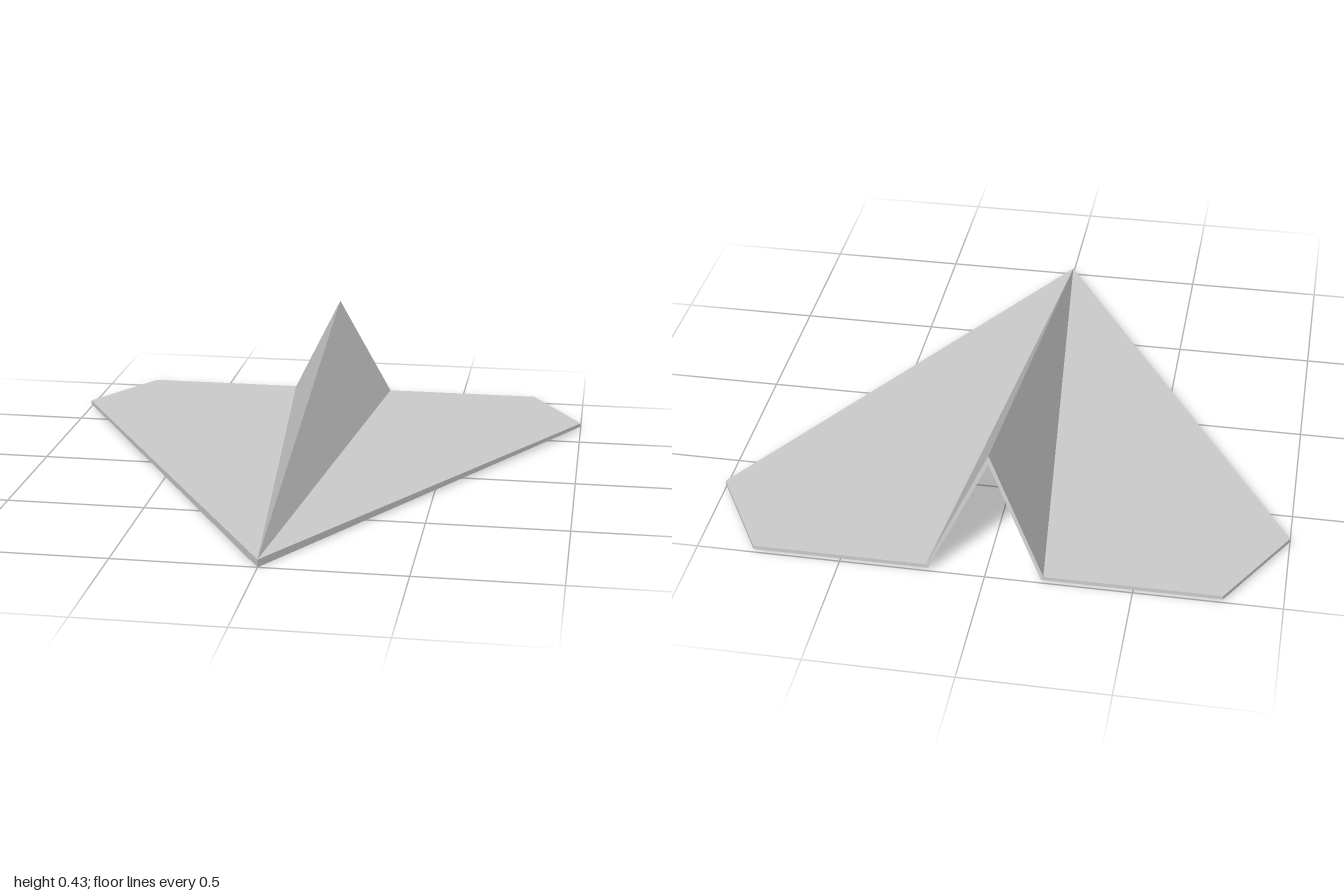
import * as THREE from 'three';

// Corners of the left half of the folded sheet: upper skin and lower skin.
const upper = {
  nose: [0, 0.027, 1], tip: [1, 0.027, -0.66], rear: [0.8, 0.027, -1],
  fold: [0.2, 0.027, -1], ridge: [0, 0.43, -0.9],
};
const lower = {
  nose: [0, 0, 1], tip: [1, 0.013, -0.66], rear: [0.8, 0.013, -1],
  fold: [0.192, 0.013, -1], ridge: [0, 0.398, -0.905],
};

// Flat-shaded panel: upper face, lower face and walls along the open edges.
function panel(names, openEdges, side) {
  const positions = [];
  const face = (...corners) => {
    const c = corners.map(([x, y, z]) => [x * side, y, z]);
    if (side < 0) c.reverse();
    for (let i = 1; i < c.length - 1; i++) positions.push(...c[0], ...c[i], ...c[i + 1]);
  };
  face(...names.map((n) => upper[n]));
  face(...names.map((n) => lower[n]).reverse());
  for (const [a, b] of openEdges) face(upper[a], lower[a], lower[b], upper[b]);
  const geometry = new THREE.BufferGeometry();
  geometry.setAttribute('position', new THREE.Float32BufferAttribute(positions, 3));
  geometry.computeVertexNormals();
  return geometry;
}

export function createModel() {
  const model = new THREE.Group();
  model.name = 'paperPlane';
  const paper = new THREE.MeshStandardMaterial({ color: 0xcccccc });
  paper.name = 'paper';

  for (const [label, side] of [['left', 1], ['right', -1]]) {
    // Flat wing
    const wing = new THREE.Mesh(
      panel(['nose', 'tip', 'rear', 'fold'], [['nose', 'tip'], ['tip', 'rear'], ['rear', 'fold']], side), paper);
    wing.name = label + 'Wing';
    // Sloping side of the raised central fold, open underneath
    const fold = new THREE.Mesh(panel(['nose', 'fold', 'ridge'], [['fold', 'ridge']], side), paper);
    fold.name = label + 'CentreFold';
    model.add(wing, fold);
  }
  return model;
}
